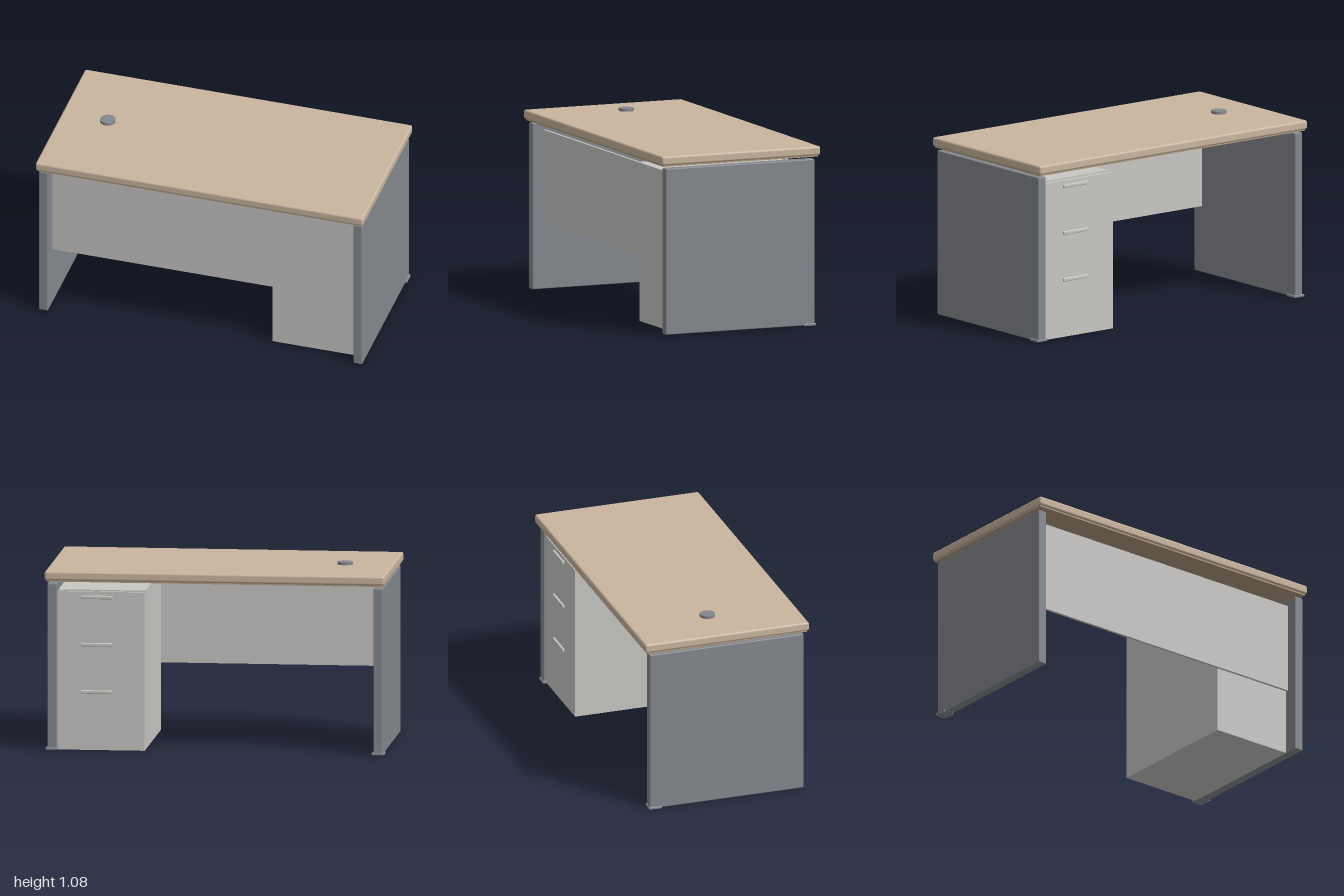
import * as THREE from 'three';
import { RoundedBoxGeometry } from 'three/addons/geometries/RoundedBoxGeometry.js';

const material = (name, color) => {
  const m = new THREE.MeshStandardMaterial({ color });
  m.name = name;
  return m;
};

export function createModel() {
  const desk = new THREE.Group();
  desk.name = 'desk';

  const wood = material('light wood', 0xc9b59f);
  const underWood = material('underside wood', 0xb39c82);
  const lightGrey = material('light grey', 0xc8c7c4);
  const slate = material('slate grey', 0x84888d);

  // Block given by its limits on each axis, with optional edge rounding
  function block(name, mat, [x0, x1], [y0, y1], [z0, z1], radius = 0) {
    const size = [x1 - x0, y1 - y0, z1 - z0];
    const geometry = radius
      ? new RoundedBoxGeometry(...size, 3, radius)
      : new THREE.BoxGeometry(...size);
    const mesh = new THREE.Mesh(geometry, mat);
    mesh.name = name;
    mesh.position.set((x0 + x1) / 2, (y0 + y1) / 2, (z0 + z1) / 2);
    desk.add(mesh);
    return mesh;
  }

  // Worktop with its thin lower sheet
  block('worktop', wood, [-1, 1], [1.007, 1.061], [-0.507, 0.507], 0.013);
  block('worktopUnderside', underWood, [-0.99, 0.99], [0.999, 1.008], [-0.495, 0.495]);

  // Cable cover
  const cover = new THREE.Mesh(new THREE.CylinderGeometry(0.045, 0.045, 0.02, 40), slate);
  cover.name = 'cableCover';
  cover.position.set(-0.717, 1.067, -0.027);
  desk.add(cover);

  // End panels and their feet
  for (const [side, s] of [['left', 1], ['right', -1]]) {
    const span = (a, b) => (s > 0 ? [a, b] : [-b, -a]);
    block(side + 'EndPanel', slate, span(0.932, 0.987), [0.003, 0.985], [-0.475, 0.477], 0.006);
    block(side + 'Foot', slate, span(0.922, 0.997), [0, 0.015], [-0.481, -0.403], 0.005);
  }

  // Modesty panel across the front
  block('modestyPanel', lightGrey, [-0.925, 0.93], [0.4, 0.945], [0.394, 0.41]);

  // Drawer pedestal, open groove behind the top of the drawer fronts
  block('pedestal', lightGrey, [0.415, 0.928], [0.002, 0.93], [-0.44, 0.394]);
  block('drawerFront', lightGrey, [0.415, 0.928], [0.002, 0.938], [-0.457, -0.44]);
  block('pedestalTop', lightGrey, [0.415, 0.928], [0.93, 0.942], [-0.41, 0.394]);

  // Drawer handles
  for (let i = 0; i < 3; i++) {
    const y = 0.905 - i * 0.28;
    block('drawerHandle', lightGrey, [0.605, 0.79], [y - 0.01, y + 0.01], [-0.47, -0.45], 0.005);
  }

  return desk;
}
